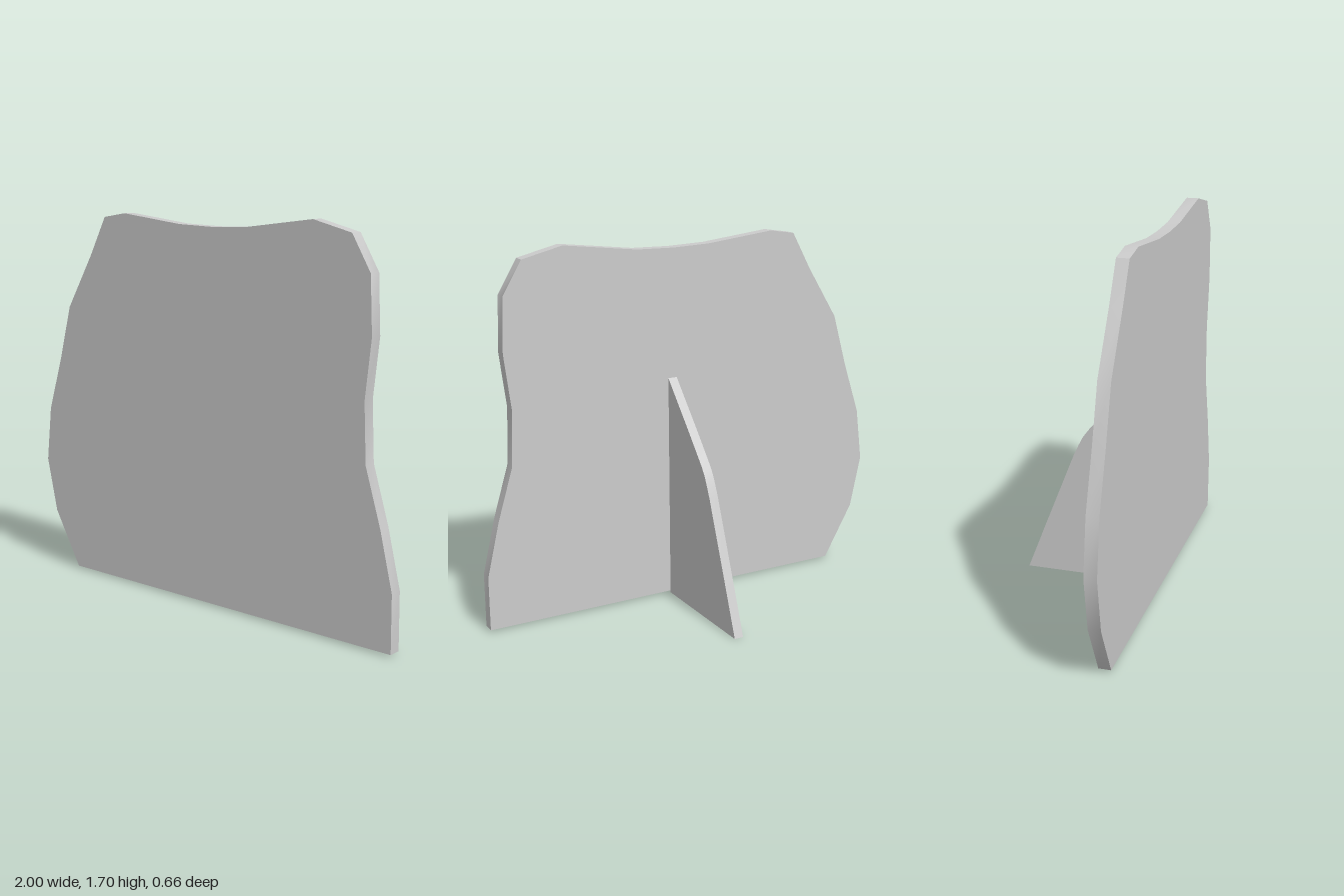
import * as THREE from 'three';
import { toCreasedNormals } from 'three/addons/utils/BufferGeometryUtils.js';

const material = new THREE.MeshStandardMaterial({ color: 0xcccccc });

// Flat board cut from an outline, with soft shading along gentle bends
function board(name, outline, thickness) {
  const shape = new THREE.Shape(outline.map(([x, y]) => new THREE.Vector2(x, y)));
  const geometry = new THREE.ExtrudeGeometry(shape, { depth: thickness, bevelEnabled: false });
  const mesh = new THREE.Mesh(toCreasedNormals(geometry, 0.55), material);
  mesh.name = name;
  return mesh;
}

export function createModel() {
  const group = new THREE.Group();
  group.name = 'standingCutout';

  // Upright panel with a wavy outline
  const panel = board('frontPanel', [
    [-0.8, 0.01], [1, 0.01], [1, 0.26], [0.94, 0.51], [0.865, 0.755], [0.855, 1.01],
    [0.885, 1.26], [0.875, 1.505], [0.785, 1.655], [0.595, 1.7], [0.24, 1.655],
    [0.06, 1.65], [-0.12, 1.655], [-0.45, 1.69], [-0.575, 1.67], [-0.67, 1.495],
    [-0.82, 1.25], [-0.89, 1], [-0.97, 0.755], [-1, 0.505], [-0.945, 0.26],
  ], 0.055);
  panel.position.z = 0.273;
  group.add(panel);

  // Rear support fin, outlined in (z, y) and turned to stand behind the panel
  const fin = board('rearSupport', [
    [0.273, 0], [0.273, 1.055], [0.2, 0.975], [0.1, 0.867], [0, 0.755], [-0.035, 0.715],
    [-0.06, 0.68], [-0.08, 0.64], [-0.104, 0.587], [-0.244, 0.222], [-0.328, 0],
  ], 0.043);
  fin.rotation.y = -Math.PI / 2;
  fin.position.x = 0.092;
  group.add(fin);

  return group;
}
